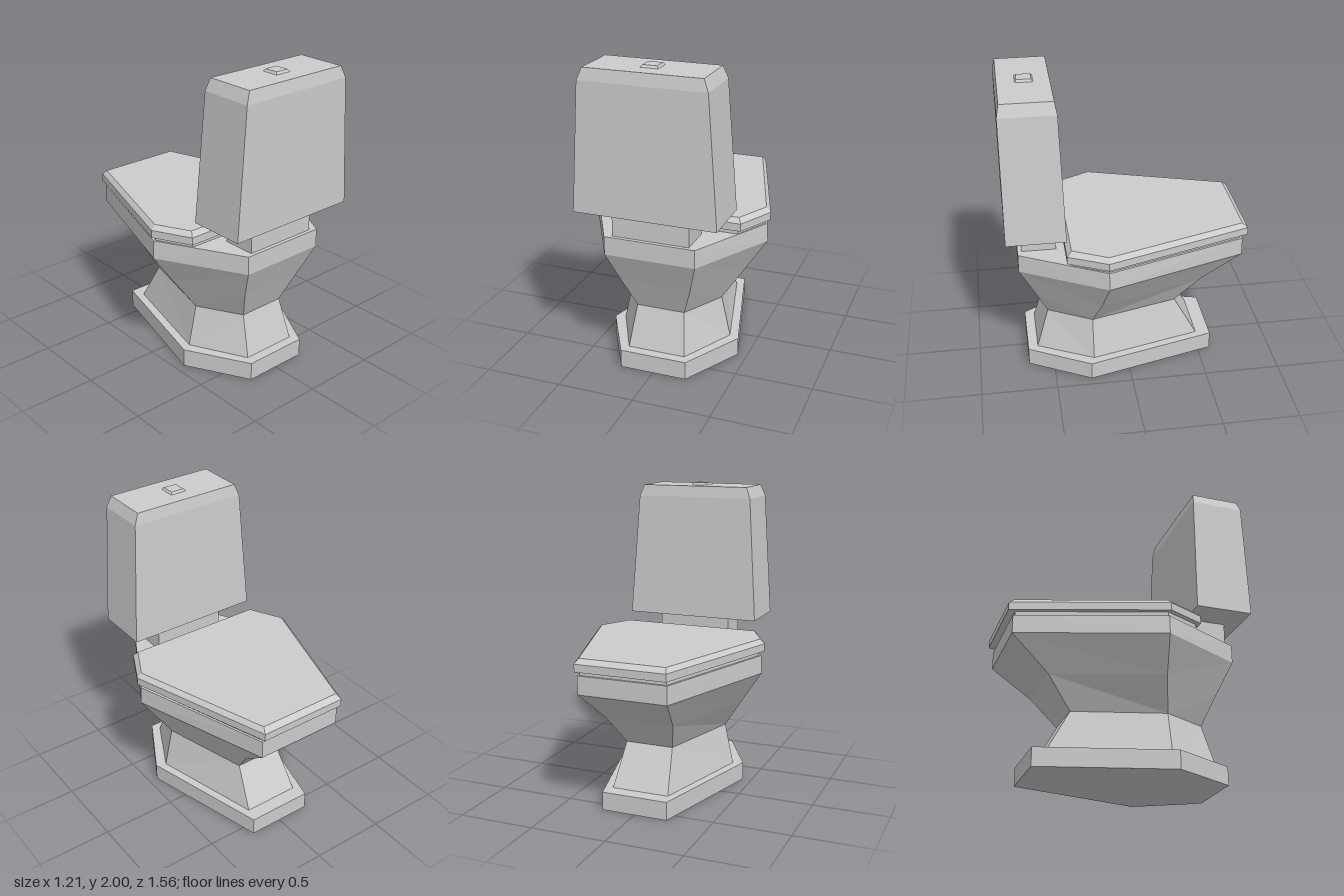
import * as THREE from 'three';

const material = new THREE.MeshStandardMaterial({ color: 0xcccccc, flatShading: true });

// Six-sided plan outline: widest at the side corners, narrower at both ends
const hex = (y, wEnd, zEnd, wSide, zSide, wTip, zTip) => [
  [wSide, y, zSide], [wTip, y, zTip], [-wTip, y, zTip],
  [-wSide, y, zSide], [-wEnd, y, zEnd], [wEnd, y, zEnd],
];

// Four-sided plan outline
const rect = (y, w, z0, z1) => [[w, y, z1], [w, y, z0], [-w, y, z0], [-w, y, z1]];

// Closed faceted solid through a stack of outlines, listed bottom to top
function loft(name, rings) {
  const pos = [];
  const tri = (...pts) => pts.forEach((p) => pos.push(...p));
  const n = rings[0].length;
  for (let r = 0; r < rings.length - 1; r++) {
    for (let i = 0; i < n; i++) {
      const j = (i + 1) % n;
      const a = rings[r][i], b = rings[r][j], c = rings[r + 1][j], d = rings[r + 1][i];
      // mirror the diagonals so left and right facets match
      if (n === 6 && i % 3 === 2) { tri(a, b, d); tri(b, c, d); }
      else { tri(a, b, c); tri(a, c, d); }
    }
  }
  const bottom = rings[0], top = rings[rings.length - 1];
  for (let i = 1; i < n - 1; i++) {
    tri(top[0], top[i], top[i + 1]);
    tri(bottom[0], bottom[i + 1], bottom[i]);
  }
  const geometry = new THREE.BufferGeometry();
  geometry.setAttribute('position', new THREE.Float32BufferAttribute(pos, 3));
  geometry.computeVertexNormals();
  const mesh = new THREE.Mesh(geometry, material);
  mesh.name = name;
  return mesh;
}

export function createModel() {
  const group = new THREE.Group();
  group.name = 'toilet';

  group.add(
    // floor plinth
    loft('base', [0, 0.12].map((y) => hex(y, 0.22, 0.67, 0.44, 0.265, 0.22, -0.585))),

    // pedestal flaring up into the bowl
    loft('bowl', [
      hex(0.12, 0.19, 0.605, 0.375, 0.24, 0.19, -0.49),
      hex(0.39, 0.16, 0.525, 0.315, 0.24, 0.16, -0.34),
      hex(0.59, 0.23, 0.61, 0.45, 0.19, 0.23, -0.5),
      hex(0.8, 0.295, 0.705, 0.59, 0.16, 0.295, -0.75),
      hex(0.92, 0.295, 0.705, 0.585, 0.16, 0.295, -0.75),
    ]),

    // seat ring
    loft('seat', [0.92, 0.95].map((y) => hex(y, 0.46, 0.385, 0.57, 0.16, 0.285, -0.735))),

    // lid with bevelled upper rim
    loft('lid', [
      hex(0.95, 0.485, 0.41, 0.605, 0.165, 0.3, -0.78),
      hex(1.0, 0.485, 0.41, 0.605, 0.165, 0.3, -0.78),
      hex(1.03, 0.465, 0.38, 0.575, 0.16, 0.285, -0.745),
    ]),

    // block joining bowl and cistern
    loft('neck', [0.92, 1.09].map((y) => rect(y, 0.25, 0.46, 0.68))),

    // cistern tapering upward, with a bevelled top
    loft('cistern', [
      rect(1.09, 0.457, 0.405, 0.78),
      rect(1.91, 0.4, 0.43, 0.78),
      rect(1.985, 0.37, 0.443, 0.765),
    ]),

    // flush button
    loft('flushButton', [
      rect(1.985, 0.055, 0.545, 0.655),
      rect(2.0, 0.045, 0.555, 0.645),
    ]),
  );
  return group;
}
